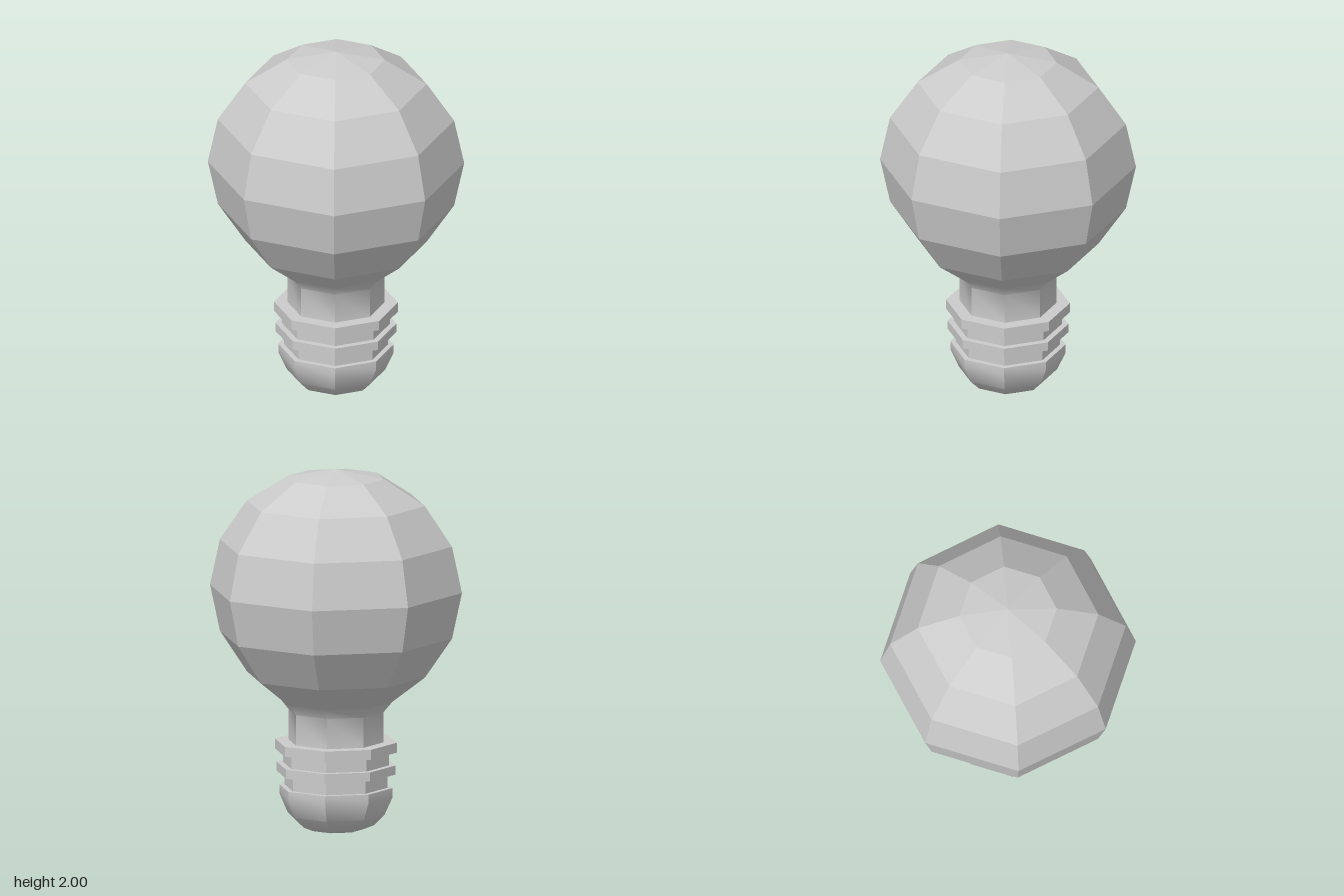
import * as THREE from 'three';
import { toCreasedNormals } from 'three/addons/utils/BufferGeometryUtils.js';

const SIDES = 8;
const CREASE = 0.72; // keeps the eight upright edges sharp, softens gentler bends

export function createModel() {
  const group = new THREE.Group();
  const flat = new THREE.MeshStandardMaterial({ color: 0xcccccc, flatShading: true });
  const soft = new THREE.MeshStandardMaterial({ color: 0xcccccc });

  // Turn a bottom-to-top profile of [radius, height] pairs into an octagonal part
  const addTurned = (name, profile, smooth = false) => {
    const points = profile.map(([r, y]) => new THREE.Vector2(r, y));
    let geometry = new THREE.LatheGeometry(points, SIDES);
    if (smooth) geometry = toCreasedNormals(geometry, CREASE);
    const mesh = new THREE.Mesh(geometry, smooth ? soft : flat);
    mesh.name = name;
    group.add(mesh);
  };

  // Rounded foot of the screw base
  addTurned('baseCap', [
    [0, 0], [0.15, 0.005], [0.21, 0.03], [0.27, 0.09],
    [0.315, 0.19], [0.315, 0.24], [0.285, 0.24],
  ], true);

  // Stepped screw thread
  addTurned('screwThread', [
    [0.285, 0.24], [0.285, 0.315], [0.33, 0.315], [0.33, 0.365],
    [0.295, 0.365], [0.295, 0.437], [0.338, 0.437], [0.338, 0.492], [0.265, 0.492],
  ]);

  // Neck flaring into the glass
  addTurned('neck', [[0.265, 0.492], [0.265, 0.66], [0.312, 0.717]], true);

  // Faceted glass globe
  addTurned('bulb', [
    [0.312, 0.717], [0.495, 0.86], [0.645, 1.08], [0.7, 1.335],
    [0.645, 1.59], [0.495, 1.81], [0.267, 1.953], [0, 2],
  ]);

  return group;
}
